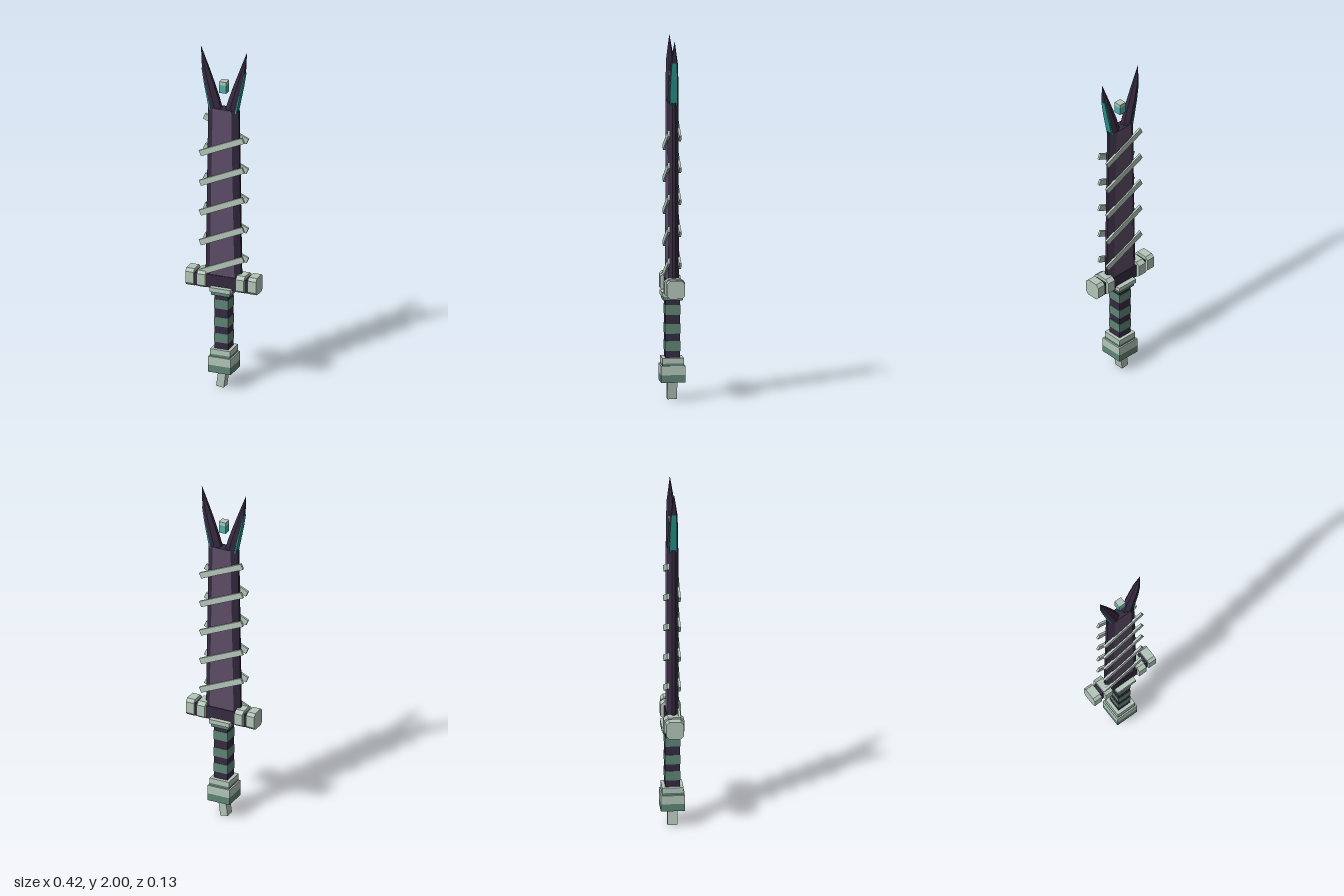
import * as THREE from 'three';

const mat = (name, color) => Object.assign(new THREE.MeshStandardMaterial({ color }), { name });

export function createModel() {
  const root = new THREE.Group();
  root.name = 'sword';
  const bone = mat('pale bone', 0xb3c6b9);
  const green = mat('moss green', 0x5f8576);
  const purple = mat('blade purple', 0x5d4d67);
  const dark = mat('dark purple', 0x352b40);
  const teal = mat('glowing teal', 0x2a9b93);
  const gem = mat('gem teal', 0x4fb0a8);

  const add = (name, geo, material, x = 0, y = 0, z = 0, rz = 0) => {
    const m = new THREE.Mesh(geo, material);
    m.name = name;
    m.position.set(x, y, z);
    m.rotation.z = rz;
    root.add(m);
    return m;
  };
  // box between two heights
  const block = (name, w, y0, y1, d, material, x = 0) =>
    add(name, new THREE.BoxGeometry(w, y1 - y0, d), material, x, (y0 + y1) / 2);

  // Flat-faced loft through rings {y, p: [[x, z], ...]} that turn from +x to +z;
  // sideMats picks a material index for each side
  const loft = (rings, sideMats = []) => {
    const pos = [];
    const g = new THREE.BufferGeometry();
    const n = rings[0].p.length;
    const put = (r, i) => pos.push(r.p[i % n][0], r.y, r.p[i % n][1]);
    for (let k = 0; k < rings.length - 1; k++) {
      const a = rings[k], b = rings[k + 1];
      for (let i = 0; i < n; i++) {
        g.addGroup(pos.length / 3, 6, sideMats[i] || 0);
        put(a, i); put(b, i); put(a, i + 1);
        put(a, i + 1); put(b, i); put(b, i + 1);
      }
    }
    const bottom = rings[0], top = rings[rings.length - 1];
    g.addGroup(pos.length / 3, 6 * (n - 2), 0);
    for (let i = 1; i < n - 1; i++) {
      put(bottom, 0); put(bottom, i); put(bottom, i + 1);
      put(top, 0); put(top, i + 1); put(top, i);
    }
    g.setAttribute('position', new THREE.Float32BufferAttribute(pos, 3));
    g.computeVertexNormals();
    return g;
  };

  // Blade: flat purple faces with dark bevelled edges
  const bladeRing = (y, w, f) => ({
    y, p: [[w, -0.008], [w, 0.008], [f, 0.03], [-f, 0.03],
      [-w, 0.008], [-w, -0.008], [-f, -0.03], [f, -0.03]],
  });
  add('blade', loft([bladeRing(0.64, 0.106, 0.074), bladeRing(1.655, 0.09, 0.055)],
    [0, 0, 1, 0, 0, 0, 1, 0]), [dark, purple]);

  // Forked tip, one curved prong per side with a teal outer strip
  const prongProfile = [
    [1.64, 0.01, 0.072, 0.03], [1.72, 0.033, 0.09, 0.029], [1.79, 0.057, 0.107, 0.026],
    [1.88, 0.09, 0.125, 0.02], [2.0, 0.134, 0.136, 0.001],
  ];
  for (const s of [1, -1]) {
    const side = s > 0 ? 'left' : 'right';
    const ring = (y, pts) => {
      const p = pts.map(([x, z]) => [s * x, z]);
      return { y, p: s > 0 ? p : p.reverse() };
    };
    add(side + 'Prong', loft(prongProfile.map(([y, xi, xo, z]) => {
      const m = (xi + xo) / 2;
      return ring(y, [[xo, -z * 0.7], [xo, z * 0.7], [m, z], [xi, z * 0.4], [xi, -z * 0.4], [m, -z]]);
    })), dark);
    add(side + 'ProngGlow', loft(prongProfile.slice(0, 4).map(([y, , xo, z], i) => {
      const out = xo + 0.009 - i * 0.002;
      return ring(y, [[out, -z * 0.68], [out, z * 0.68], [xo - 0.002, z * 0.68], [xo - 0.002, -z * 0.68]]);
    })), teal);
  }

  // Floating gem between the prongs
  block('gem', 0.042, 1.75, 1.797, 0.042, gem);
  block('gemCap', 0.042, 1.797, 1.817, 0.042, bone);

  // Slanted wraps winding up the blade
  const wrap = new THREE.BoxGeometry(0.28, 0.034, 0.013);
  for (let i = 0; i < 5; i++) {
    add('frontWrap', wrap, bone, 0, 0.727 + i * 0.177, 0.031, 0.42);
    add('backWrap', wrap, bone, 0, 0.812 + i * 0.177, -0.031, -0.42);
  }

  // Crossguard: dark bar with eight-sided bone rings and end caps
  block('guardBar', 0.34, 0.588, 0.665, 0.07, dark);
  const octagon = (h, d) => {
    const a = 0.033;
    const p = [[h, -a], [h, a], [a, d], [-a, d], [-h, a], [-h, -a], [-a, -d], [a, -d]];
    return loft([{ y: -0.0245, p }, { y: 0.0245, p }]).rotateZ(-Math.PI / 2);
  };
  for (const s of [1, -1]) {
    add('guardRing', octagon(0.05, 0.056), bone, s * 0.115, 0.635);
    add('guardCap', octagon(0.05, 0.049), bone, s * 0.185, 0.635);
  }
  block('collar', 0.124, 0.575, 0.6, 0.124, bone);
  block('collarBase', 0.108, 0.555, 0.58, 0.108, green);

  // Grip with bands
  block('grip', 0.08, 0.22, 0.57, 0.08, dark);
  for (const y of [0.5, 0.395, 0.3]) block('gripBand', 0.084, y - 0.027, y + 0.027, 0.084, green);

  // Pommel and its tilted tail
  block('pommelNeck', 0.118, 0.205, 0.235, 0.118, bone);
  block('pommelNeckBand', 0.118, 0.19, 0.205, 0.118, green);
  block('pommelTop', 0.134, 0.142, 0.192, 0.134, bone);
  block('pommelBottom', 0.134, 0.1, 0.142, 0.134, green);
  add('tail', new THREE.BoxGeometry(0.045, 0.12, 0.054), bone, -0.005, 0.0626, 0, -0.14);

  return root;
}
